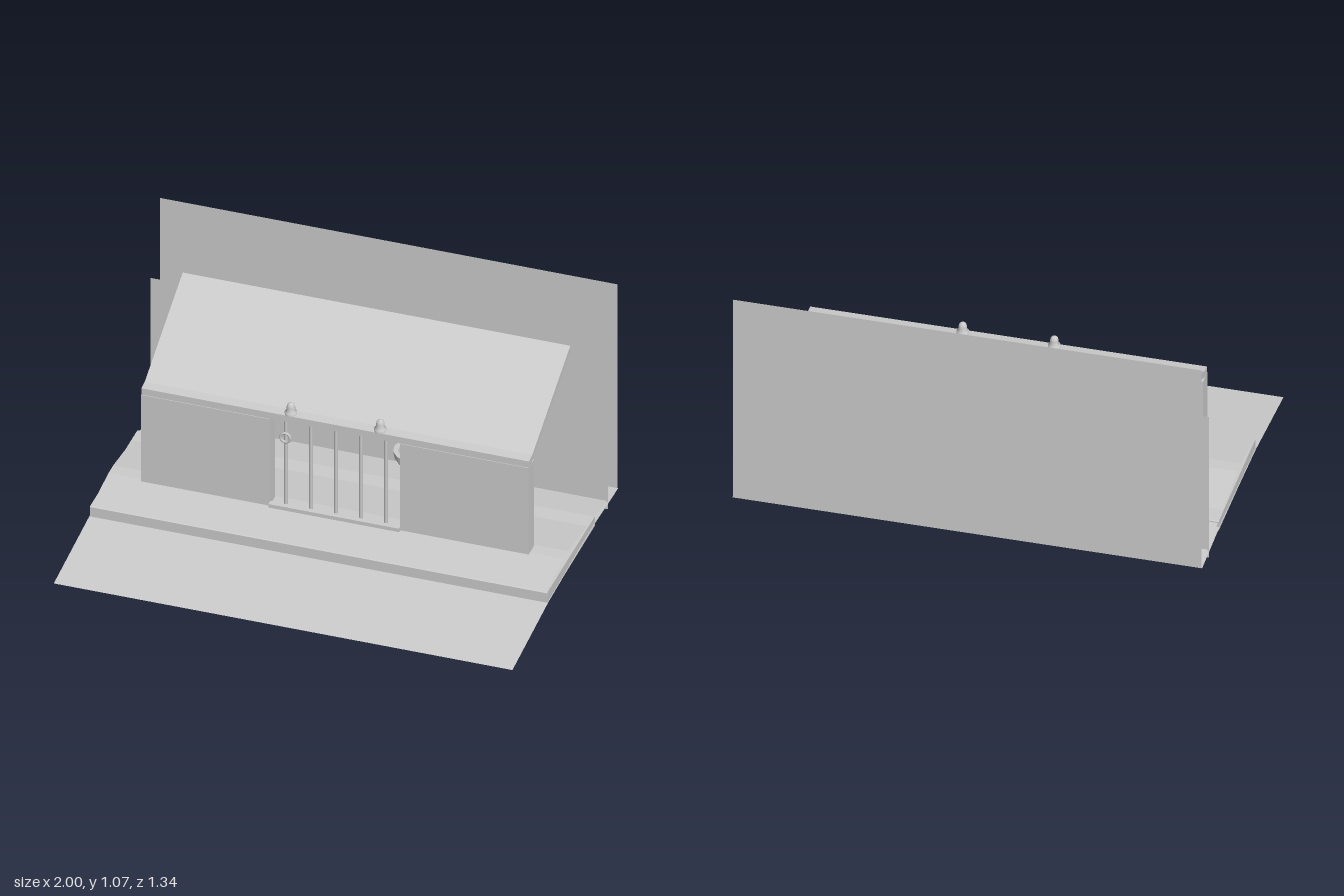
import * as THREE from 'three';

const solid = new THREE.MeshStandardMaterial({ color: 0xcccccc });
const faceted = new THREE.MeshStandardMaterial({ color: 0xcccccc, flatShading: true });
const sheetMat = new THREE.MeshStandardMaterial({ color: 0xcccccc, flatShading: true, side: THREE.DoubleSide });

function add(parent, name, geometry, x = 0, y = 0, z = 0, material = solid) {
  const mesh = new THREE.Mesh(geometry, material);
  mesh.name = name;
  mesh.position.set(x, y, z);
  parent.add(mesh);
  return mesh;
}

// box given by its limits
function block(parent, name, [x0, x1], [y0, y1], [z0, z1]) {
  return add(parent, name, new THREE.BoxGeometry(x1 - x0, y1 - y0, z1 - z0),
    (x0 + x1) / 2, (y0 + y1) / 2, (z0 + z1) / 2);
}

// solid with a constant (z, y) section, running along x
function prism(parent, name, section, halfWidth) {
  const shape = new THREE.Shape(section.map(([z, y]) => new THREE.Vector2(-z, y)));
  const g = new THREE.ExtrudeGeometry(shape, { depth: 2 * halfWidth, bevelEnabled: false });
  g.translate(0, 0, -halfWidth).rotateY(Math.PI / 2);
  return add(parent, name, g);
}

// thin sheet following a (z, y) line from front to back
function sheet(parent, name, line, halfWidth) {
  const g = new THREE.PlaneGeometry(2 * halfWidth, 1, 1, line.length - 1);
  const p = g.attributes.position;
  for (let i = 0; i < p.count; i++) {
    const [z, y] = line[line.length - 1 - Math.floor(i / 2)];
    p.setXYZ(i, p.getX(i), y, z);
  }
  g.computeVertexNormals();
  return add(parent, name, g, 0, 0, 0, sheetMat);
}

function makeToilet() {
  const toilet = new THREE.Group();
  toilet.name = 'toilet';
  // floor plate
  add(toilet, 'toiletFloorPlate', new THREE.CylinderGeometry(0.08, 0.08, 0.006, 12), 0, 0.141, -0.03, faceted);
  // foot and bowl, hollow at the top
  const profile = [[0, 0.14], [0.036, 0.14], [0.036, 0.172], [0.05, 0.19], [0.083, 0.24],
    [0.09, 0.275], [0.07, 0.275], [0.055, 0.235], [0, 0.21]];
  add(toilet, 'toiletBowl', new THREE.LatheGeometry(profile.map(([r, y]) => new THREE.Vector2(r, y)), 12),
    0, 0, 0.005, faceted);
  // support and cistern
  const rear = new THREE.CylinderGeometry(0.1, 0.055, 0.085, 4, 1).rotateY(Math.PI / 4);
  add(toilet, 'cisternSupport', rear, 0, 0.2475, -0.07, faceted);
  block(toilet, 'cistern', [-0.077, 0.077], [0.29, 0.4], [-0.125, -0.055]);
  // raised oval lid
  const lid = new THREE.CylinderGeometry(0.08, 0.08, 0.016, 16).rotateX(Math.PI / 2).rotateX(-0.06);
  add(toilet, 'toiletLid', lid, 0, 0.362, -0.043, faceted).scale.y = 1.1;
  toilet.position.set(0.22, 0, -0.37);
  toilet.rotation.y = -0.6;
  return toilet;
}

export function createModel() {
  const model = new THREE.Group();
  model.name = 'jailDiorama';

  // ground sheets and plinth
  sheet(model, 'ground', [[0.67, 0], [0.217, 0.052], [-0.38, 0.075], [-0.67, 0.065]], 1);
  sheet(model, 'raisedGround', [[0.217, 0.102], [0, 0.13], [-0.06, 0.131], [-0.38, 0.095], [-0.62, 0.067]], 0.992);
  prism(model, 'plinth', [[0.22, 0.052], [0.22, 0.098], [0.215, 0.102], [-0.38, 0.104],
    [-0.384, 0.1], [-0.384, 0.057]], 0.997);

  // backdrops
  const backdrop = (name, y0, y1, z) =>
    add(model, name, new THREE.PlaneGeometry(1.995, y1 - y0), 0, (y0 + y1) / 2, z, sheetMat);
  backdrop('tallBackdrop', 0.065, 1.07, -0.67);
  backdrop('lowBackdrop', 0.035, 0.75, -0.55);

  // front walls either side of the opening, and sill
  for (const s of [-1, 1]) {
    const xs = s < 0 ? [-0.845, -0.285] : [0.285, 0.845];
    block(model, s < 0 ? 'rightWall' : 'leftWall', xs, [0.13, 0.556], [-0.055, 0.015]);
  }
  block(model, 'sill', [-0.285, 0.285], [0.13, 0.147], [0.005, 0.03]);

  // window bars and the ring on one of them
  for (let i = -2; i <= 2; i++) {
    add(model, 'windowBar', new THREE.CylinderGeometry(0.008, 0.008, 0.53, 10), i * 0.109, 0.295, 0);
  }
  add(model, 'barRing', new THREE.TorusGeometry(0.021, 0.006, 8, 20), -0.218, 0.475, 0.008);

  // bent roof
  prism(model, 'roof', [[0.012, 0.556], [0.012, 0.587], [-0.032, 0.592], [-0.513, 0.832],
    [-0.525, 0.803], [-0.042, 0.567], [-0.02, 0.557]], 0.845);

  // domed lamps on the roof edge
  const lamp = [[0.026, 0], [0.026, 0.012], [0.018, 0.016], [0.018, 0.034], [0.015, 0.046], [0.008, 0.053], [0, 0.055]];
  for (const x of [-0.2, 0.19]) {
    const g = new THREE.LatheGeometry(lamp.map(([r, y]) => new THREE.Vector2(r, y)), 16);
    add(model, 'roofLamp', g, x, 0.586, -0.01);
  }

  model.add(makeToilet());
  return model;
}
